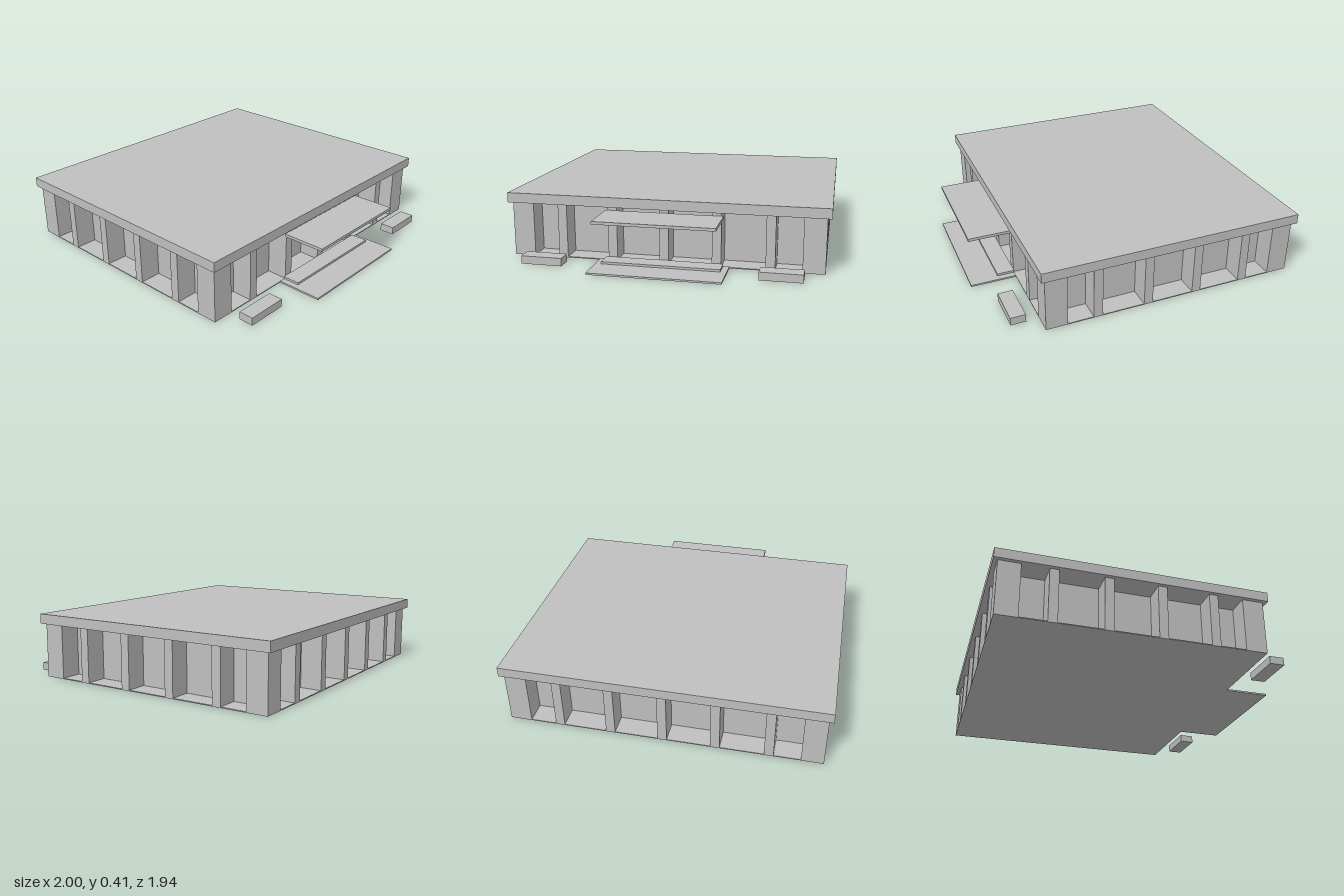
import * as THREE from 'three';

export function createModel() {
  const model = new THREE.Group();
  model.name = 'pavilion';
  const concrete = new THREE.MeshStandardMaterial({ color: 0xbfbfbf });
  concrete.name = 'concrete grey';

  // Box given by its limits on each axis
  function block(name, x0, x1, y0, y1, z0, z1, parent = model) {
    const mesh = new THREE.Mesh(new THREE.BoxGeometry(x1 - x0, y1 - y0, z1 - z0), concrete);
    mesh.position.set((x0 + x1) / 2, (y0 + y1) / 2, (z0 + z1) / 2);
    mesh.name = name;
    parent.add(mesh);
  }

  const X = 0.975, FRONT = 0.68, BACK = -0.945; // outer faces of the building
  const D = 0.135;                              // pier depth
  const FLOOR = 0.006, CEILING = 0.345;

  // Floor, recessed walls and overhanging roof
  block('floor', -X, X, 0, FLOOR, BACK, FRONT);
  block('recessedWalls', -X + D, X - D, FLOOR, CEILING, BACK + D, FRONT - D);
  block('roof', -1, 1, CEILING, 0.407, -0.97, 0.705);

  // Square corner piers
  const piers = new THREE.Group();
  piers.name = 'piers';
  model.add(piers);
  for (const x of [-X, X - D]) {
    for (const z of [BACK, FRONT - D]) {
      block('cornerPier', x, x + D, FLOOR, CEILING, z, z + D, piers);
    }
  }

  // Fin-like piers along the front and back
  const W = 0.0285;
  for (let i = -2; i <= 2; i++) {
    const x = i * 0.325;
    block('frontPier', x - W, x + W, FLOOR, CEILING, FRONT - D, FRONT, piers);
    block('backPier', x - W, x + W, FLOOR, CEILING, BACK, BACK + D, piers);
  }

  // Fin-like piers along both sides
  for (let i = 0; i < 4; i++) {
    const z = 0.355 - i * 0.325;
    block('leftPier', X - D, X, FLOOR, CEILING, z - W, z + W, piers);
    block('rightPier', -X, -X + D, FLOOR, CEILING, z - W, z + W, piers);
  }

  // Entrance steps and canopy
  block('lowerStep', -0.405, 0.405, 0, 0.011, FRONT, 0.97);
  block('upperStep', -0.367, 0.367, 0.011, 0.025, FRONT, 0.79);
  block('canopy', -0.367, 0.367, 0.304, 0.322, FRONT, 0.955);

  // Low planters either side of the entrance
  block('leftPlanter', 0.6, 0.858, 0, 0.05, 0.76, 0.855);
  block('rightPlanter', -0.858, -0.6, 0, 0.05, 0.76, 0.855);

  return model;
}
